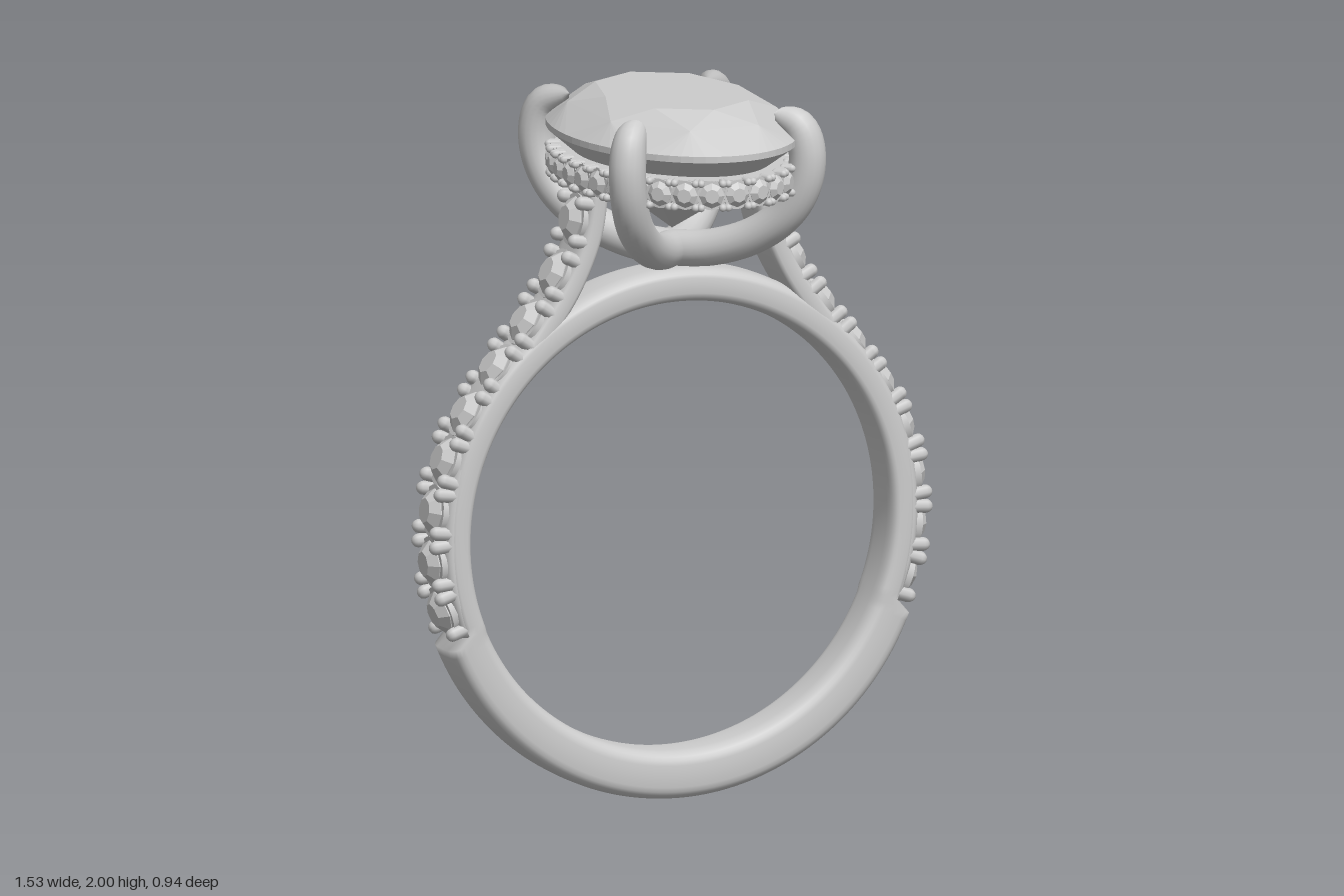
import * as THREE from 'three';
import { mergeGeometries } from 'three/addons/utils/BufferGeometryUtils.js';
import { ConvexGeometry } from 'three/addons/geometries/ConvexGeometry.js';

const V = (x, y, z = 0) => new THREE.Vector3(x, y, z);
const TAU = Math.PI * 2;
const silver = new THREE.MeshStandardMaterial({ color: 0xcccccc });
silver.name = 'silver grey';

function add(parent, name, geometry) {
  const mesh = new THREE.Mesh(geometry, silver);
  mesh.name = name;
  parent.add(mesh);
  return mesh;
}

// Rounded-rectangle section swept along frames { p, n, lo, hi, w } in the xy plane
function sweep(frames, closed) {
  const M = 28, pos = [], idx = [];
  const soft = (v) => Math.sign(v) * Math.pow(Math.abs(v), 0.55);
  for (const f of frames) {
    for (let j = 0; j < M; j++) {
      const a = (j / M) * TAU;
      const d = (f.lo + f.hi) / 2 + ((f.hi - f.lo) / 2) * soft(Math.cos(a));
      pos.push(f.p.x + f.n.x * d, f.p.y + f.n.y * d, f.w * soft(Math.sin(a)));
    }
  }
  const N = frames.length;
  for (let i = 0; i < (closed ? N : N - 1); i++) {
    for (let j = 0; j < M; j++) {
      const k = (j + 1) % M, r = ((i + 1) % N) * M, q = i * M;
      idx.push(q + j, r + j, q + k, r + j, r + k, q + k);
    }
  }
  const g = new THREE.BufferGeometry();
  g.setAttribute('position', new THREE.Float32BufferAttribute(pos, 3));
  g.setIndex(idx);
  g.computeVertexNormals();
  return g;
}

// Tube whose radius changes along its length
function taperedTube(curve, radius, segments = 48, sides = 18) {
  const g = new THREE.TubeGeometry(curve, segments, 1, sides);
  const p = g.attributes.position, v = V(0, 0);
  for (let i = 0; i <= segments; i++) {
    const c = curve.getPointAt(i / segments), r = radius(i / segments);
    for (let j = 0; j <= sides; j++) {
      const k = i * (sides + 1) + j;
      v.fromBufferAttribute(p, k).sub(c).multiplyScalar(r).add(c);
      p.setXYZ(k, v.x, v.y, v.z);
    }
  }
  return g;
}

// Small cut stone, outward along +y, table at y = 0
function smallStone() {
  const g = mergeGeometries([
    new THREE.CylinderGeometry(0.036, 0.064, 0.024, 8).translate(0, -0.012, 0),
    new THREE.CylinderGeometry(0.064, 0.06, 0.02, 8).translate(0, -0.034, 0),
  ]).toNonIndexed();
  g.computeVertexNormals();
  return g;
}

// Round seat with four bead prongs around a small stone
function smallSeat() {
  const parts = [new THREE.CylinderGeometry(0.074, 0.07, 0.05, 20).translate(0, -0.052, 0)];
  for (const x of [-1, 1]) for (const z of [-1, 1]) {
    parts.push(new THREE.CapsuleGeometry(0.02, 0.045, 4, 8).translate(x * 0.054, -0.04, z * 0.061));
  }
  return mergeGeometries(parts);
}

// Oval brilliant: table, star points, girdle, pavilion and culet
function ovalGem() {
  const pts = [];
  const ring = (count, f, y, turn = 0) => {
    for (let i = 0; i < count; i++) {
      const a = ((i + turn) / count) * TAU;
      pts.push(V(0.325 * f * Math.cos(a), y, 0.47 * f * Math.sin(a)));
    }
  };
  ring(8, 0.62, 2.0);
  ring(8, 0.84, 1.961, 0.5);
  ring(64, 1, 1.903);
  ring(64, 1, 1.885);
  ring(8, 0.3, 1.685);
  pts.push(V(0, 1.612));
  return new ConvexGeometry(pts);
}

export function createModel() {
  const ring = new THREE.Group();
  ring.name = 'ring';

  // Finger band: plain and thick below, recessed where the small stones sit
  const centre = V(0, 0.775), bandFrames = [];
  for (let i = 0; i < 200; i++) {
    const a = (i / 200) * TAU, s = Math.sin(a);
    const hi = s < -0.37 ? 0.76 + 0.015 * ((-s - 0.37) / 0.63) : 0.712 + 0.023 * Math.max(0, s);
    bandFrames.push({ p: centre, n: V(Math.cos(a), s), lo: 0.635, hi, w: 0.085 });
  }
  add(ring, 'band', sweep(bandFrames, true));

  // Shoulders with a row of nine stones each, rising to the halo
  const path = new THREE.CatmullRomCurve3([
    V(0.702, 0.5), V(0.745, 0.64), V(0.758, 0.77), V(0.742, 0.93), V(0.68, 1.1), V(0.58, 1.25),
    V(0.466, 1.4), V(0.386, 1.52), V(0.335, 1.64), V(0.315, 1.76),
  ]);
  const frameAt = (u) => {
    const t = path.getTangentAt(u);
    return { p: path.getPointAt(u), n: V(t.y, -t.x) };
  };
  const shoulderFrames = [];
  for (let i = 0; i <= 60; i++) {
    shoulderFrames.push({ ...frameAt(i / 60), lo: -0.115 + 0.015 * (i / 60), hi: -0.036, w: 0.082 });
  }
  // closed ends
  const end = (f) => ({ ...f, lo: -0.07, hi: -0.07, w: 0 });
  shoulderFrames.unshift(end(shoulderFrames[0]));
  shoulderFrames.push(end(shoulderFrames[shoulderFrames.length - 1]));
  const shoulderGeo = sweep(shoulderFrames, false);

  const stoneGeo = smallStone(), seatGeo = smallSeat();
  function setStone(parent, name, p, n, z, scale) {
    const g = new THREE.Group();
    g.name = name;
    add(g, 'smallStone', stoneGeo);
    add(g, 'stoneSeat', seatGeo);
    g.quaternion.setFromRotationMatrix(new THREE.Matrix4().makeBasis(n.clone().cross(z), n, z));
    g.position.copy(p);
    g.scale.setScalar(scale);
    parent.add(g);
  }

  for (const side of ['left', 'right']) {
    const shoulder = new THREE.Group();
    shoulder.name = side + 'Shoulder';
    add(shoulder, 'shoulderBar', shoulderGeo);
    for (let i = 0; i < 9; i++) {
      const f = frameAt((i + 0.48) / 9.1);
      setStone(shoulder, 'shoulderStone', f.p, f.n, V(0, 0, 1), 1);
    }
    if (side === 'right') shoulder.rotation.y = Math.PI;
    ring.add(shoulder);
  }

  // Halo: oval rail with stones facing outwards
  const halo = new THREE.Group();
  halo.name = 'halo';
  halo.position.y = 1.79;
  const rail = new THREE.Shape().absellipse(0, 0, 0.3, 0.445, 0, TAU);
  rail.holes.push(new THREE.Path().absellipse(0, 0, 0.25, 0.39, 0, TAU, true));
  add(halo, 'haloRail', new THREE.ExtrudeGeometry(rail, { depth: 0.08, bevelEnabled: false, curveSegments: 48 })
    .translate(0, 0, -0.04).rotateX(-Math.PI / 2));
  const oval = new THREE.EllipseCurve(0, 0, 0.325, 0.47);
  for (let i = 0; i < 32; i++) {
    const p = oval.getPointAt(i / 32), t = oval.getTangentAt(i / 32);
    setStone(halo, 'haloStone', V(p.x, 0, p.y), V(t.y, 0, -t.x), V(0, 1, 0), 0.56);
  }
  ring.add(halo);

  // Centre stone
  add(ring, 'centreStone', ovalGem());

  // Four claws rising from the middle of the bridge and hooking over the stone
  const profile = [[0, 1.555], [0.3, 1.568], [0.62, 1.615], [0.86, 1.69], [0.98, 1.78], [1.0, 1.87], [0.94, 1.935], [0.76, 1.965]];
  for (const sx of [-1, 1]) for (const sz of [-1, 1]) {
    const curve = new THREE.CatmullRomCurve3(profile.map(([s, y]) => V(0.272 * s * sx, y, 0.315 * s * sz)));
    const radius = (u) => (u < 0.8 ? 0.052 : 0.052 * Math.sqrt(Math.max(0, 1 - ((u - 0.8) / 0.2) ** 2)));
    add(ring, 'claw', taperedTube(curve, radius));
  }
  return ring;
}
